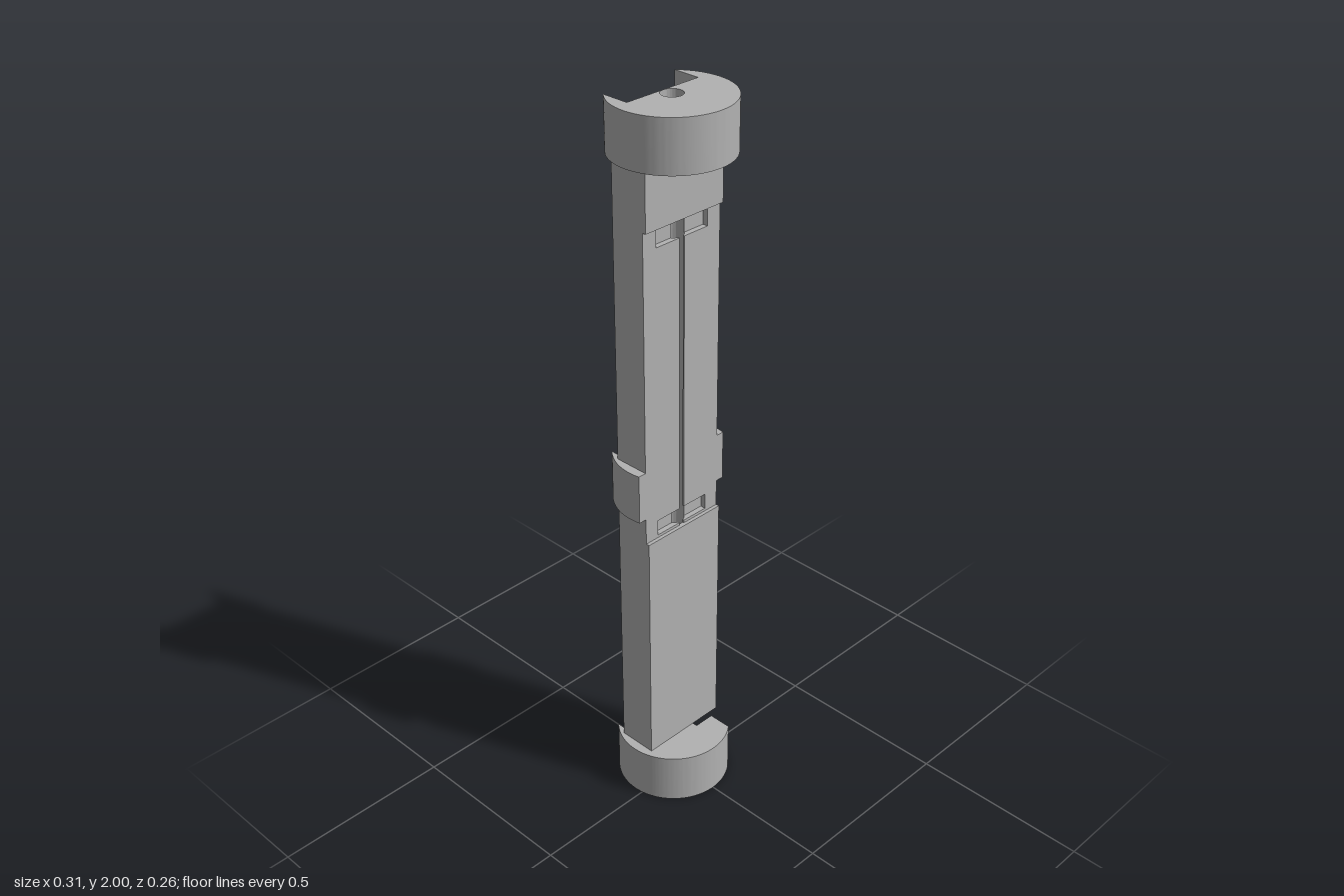
import * as THREE from 'three';
import { toCreasedNormals } from 'three/addons/utils/BufferGeometryUtils.js';

// Plan profiles are drawn in (x, -z) and extruded upwards.
const R = 0.156, CY = 0.027;          // outer round and its centre
const BORE = 0.0282;                  // wire bore radius
const CH = 0.115, FLOOR = 0.0555;     // rear channel half width and floor
const BODY = 0.13, BACK = 0.095;      // body half width and rear edge
const TIP = Math.acos(CH / R);        // angle of the round wing tips

function addBore(shape) {
  const hole = new THREE.Path();
  hole.absarc(0, CY, BORE, 0, Math.PI * 2, true);
  shape.holes.push(hole);
  return shape;
}

function channel(shape) {
  shape.lineTo(CH, FLOOR);
  shape.lineTo(-CH, FLOOR);
  shape.closePath();
  return shape;
}

// Full round collar with the rear channel
function collarShape() {
  const s = new THREE.Shape();
  s.absarc(0, CY, R, Math.PI - TIP, Math.PI * 2 + TIP, false);
  return addBore(channel(s));
}

// Round collar with a stepped side cut-out
function notchedShape() {
  const s = new THREE.Shape();
  s.absarc(0, CY, R, Math.PI - TIP, Math.PI * 2 - Math.acos(0.095 / R), false);
  s.lineTo(0.095, -0.03);
  s.lineTo(0.035, -0.03);
  s.lineTo(0.035, FLOOR);
  s.lineTo(-CH, FLOOR);
  s.closePath();
  return addBore(s);
}

// Body section: front is the front z, opening is 'none', 'slot' or 'pocket'
function bodyShape(front, opening, round = false) {
  const s = new THREE.Shape();
  const f = -front;
  const tilt = Math.asin((CY - f) / R);
  const w = round ? R * Math.cos(tilt) : BODY;
  s.moveTo(-w, f);
  if (opening !== 'none') {
    const pocket = opening === 'pocket';
    const half = pocket ? 0.0225 : 0.008;
    const a = Math.asin(half / BORE);
    const y = CY - BORE * Math.cos(a);
    if (pocket) {
      s.lineTo(-0.087, f);
      s.lineTo(-0.087, y);
    } else s.lineTo(-half, f);
    s.lineTo(-half, y);
    s.absarc(0, CY, BORE, -Math.PI / 2 - a, -Math.PI / 2 + a, true);
    if (pocket) {
      s.lineTo(0.087, y);
      s.lineTo(0.087, f);
    } else s.lineTo(half, f);
  }
  s.lineTo(w, f);
  if (round) s.absarc(0, CY, R, -tilt, TIP, false);
  else {
    s.lineTo(BODY, BACK);
    s.lineTo(CH, BACK);
  }
  s.lineTo(CH, FLOOR);
  s.lineTo(-CH, FLOOR);
  if (round) s.absarc(0, CY, R, Math.PI - TIP, Math.PI + tilt, false);
  else {
    s.lineTo(-CH, BACK);
    s.lineTo(-BODY, BACK);
  }
  s.closePath();
  return opening === 'none' ? addBore(s) : s;
}

export function createModel() {
  const group = new THREE.Group();
  const grey = new THREE.MeshStandardMaterial({ color: 0xb2b2b2 });
  grey.name = 'plain grey';

  function section(name, shape, y0, y1) {
    let geo = new THREE.ExtrudeGeometry(shape, {
      depth: y1 - y0, bevelEnabled: false, curveSegments: 48,
    });
    geo.rotateX(-Math.PI / 2);
    geo.translate(0, y0, 0);
    geo = toCreasedNormals(geo, 0.5);
    const mesh = new THREE.Mesh(geo, grey);
    mesh.name = name;
    group.add(mesh);
  }

  // End collars
  section('basePlate', collarShape(), 0, 0.012);
  section('lowerCollar', notchedShape(), 0.012, 0.146);
  section('upperCollar', collarShape(), 1.863, 2);

  // Thick body ends
  section('lowerBody', bodyShape(0.015, 'none'), 0.146, 0.839);
  section('upperBody', bodyShape(0.015, 'none'), 1.706, 1.863);

  // Recessed slotted middle with two cross pockets and a round band
  const slot = bodyShape(0.005, 'slot');
  const pocket = bodyShape(0.005, 'pocket');
  section('slotLowerLip', slot, 0.839, 0.847);
  section('lowerPocket', pocket, 0.847, 0.891);
  section('slotBelowBand', slot, 0.891, 0.914);
  section('middleBand', bodyShape(0.005, 'slot', true), 0.914, 1.053);
  section('slottedBody', slot, 1.053, 1.655);
  section('upperPocket', pocket, 1.655, 1.7);
  section('slotUpperLip', slot, 1.7, 1.706);

  return group;
}
